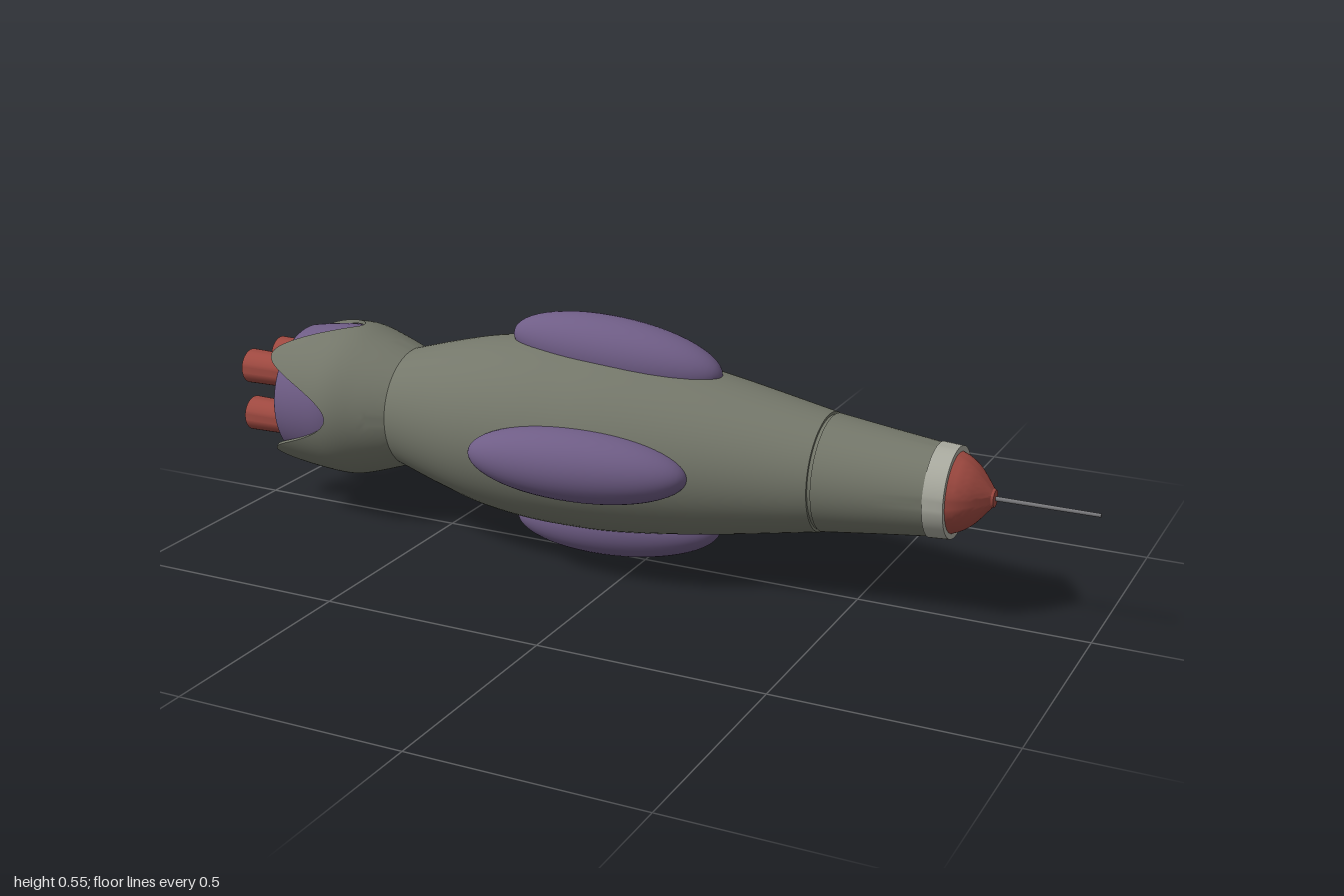
import * as THREE from 'three';
import { toCreasedNormals } from 'three/addons/utils/BufferGeometryUtils.js';

const mat = (name, color) => {
  const m = new THREE.MeshStandardMaterial({ color });
  m.name = name;
  return m;
};

// Smooth interpolation through [x, r] points, returning lathe points
function smoothProfile(pts, n) {
  return new THREE.SplineCurve(pts.map(([x, r]) => new THREE.Vector2(r, x))).getPoints(n);
}

export function createModel() {
  const green = mat('hull green', 0x74776a);
  const purple = mat('pod purple', 0x6f5d86);
  const red = mat('engine red', 0xa04a41);
  const pale = mat('collar grey', 0xa9aa9f);
  const steel = mat('needle steel', 0x77777a);

  const model = new THREE.Group();
  model.name = 'rocket';

  // Everything is turned about local y, then laid along x
  const ship = new THREE.Group();
  ship.name = 'ship';
  ship.rotation.z = -Math.PI / 2;
  ship.position.y = 0.276;
  model.add(ship);

  const add = (name, geo, material, parent = ship) => {
    const mesh = new THREE.Mesh(geo, material);
    mesh.name = name;
    parent.add(mesh);
    return mesh;
  };
  const turned = (points, seg = 64) =>
    toCreasedNormals(new THREE.LatheGeometry(
      points.map((p) => (p.isVector2 ? p : new THREE.Vector2(p[1], p[0]))), seg), 0.45);

  // Main hull, closed at the rear, with a seam groove at the front
  add('hull', turned([
    [-0.585, 0],
    ...smoothProfile([[-0.585, 0.137], [-0.48, 0.167], [-0.37, 0.193], [-0.26, 0.206],
      [-0.16, 0.208], [-0.03, 0.202], [0.17, 0.175], [0.425, 0.128]], 28),
    [0.425, 0.122],
  ]), green);
  add('seamGroove', turned([[0.42, 0.122], [0.44, 0.12]]), green);
  add('noseSection', turned([[0.433, 0.12], [0.433, 0.126], [0.55, 0.111], [0.665, 0.097]]), green);

  // Pale collar, nose cone and probe needle
  add('collar', turned([[0.662, 0.09], [0.662, 0.1], [0.705, 0.097], [0.705, 0.084]]), pale);
  add('noseCone', turned([
    ...smoothProfile([[0.7, 0.087], [0.725, 0.076], [0.75, 0.056], [0.78, 0.02]], 12),
    [0.785, 0.018], [0.786, 0],
  ]), red);
  const needle = add('needle', new THREE.CylinderGeometry(0.004, 0.005, 0.22, 12), steel);
  needle.position.y = 0.89;

  // Four tilted side pods
  for (let i = 0; i < 4; i++) {
    const arm = new THREE.Group();
    arm.name = 'podMount';
    arm.rotation.y = i * Math.PI / 2;
    ship.add(arm);
    const pod = add('pod', new THREE.SphereGeometry(1, 40, 28), purple, arm);
    pod.scale.set(0.079, 0.25, 0.079);
    pod.position.set(0.194, -0.07, 0);
    pod.rotation.z = 0.08;
  }

  // Tail skirt with four scalloped notches, walls inside and out
  const skirtCurve = new THREE.SplineCurve([[-0.92, 0.162], [-0.86, 0.169], [-0.79, 0.176],
    [-0.72, 0.177], [-0.65, 0.158], [-0.585, 0.135]].map((p) => new THREE.Vector2(...p)));
  const samples = skirtCurve.getPoints(60);
  const radiusAt = (x) => {
    const k = Math.max(1, samples.findIndex((p) => p.x >= x - 1e-6));
    const a = samples[k - 1], b = samples[k];
    return a.y + (b.y - a.y) * (x - a.x) / (b.x - a.x);
  };
  const rows = 14, seg = 96, n = rows * 2;
  const skirt = new THREE.LatheGeometry(
    Array.from({ length: n }, (_, j) => new THREE.Vector2(1, j)), seg);
  const pos = skirt.attributes.position;
  for (let k = 0; k < pos.count; k++) {
    const phi = (Math.floor(k / n) % seg) / seg * Math.PI * 2;
    const j = k % n;
    const inner = j < rows;
    const t = inner ? 1 - j / (rows - 1) : (j - rows) / (rows - 1);
    const edge = -0.72 - 0.178 * Math.sin(2 * phi) ** 2;
    const x = edge + (-0.585 - edge) * t;
    const r = radiusAt(x) - (inner ? 0.008 : 0);
    pos.setXYZ(k, r * Math.sin(phi), x, r * Math.cos(phi));
  }
  add('tailSkirt', toCreasedNormals(skirt, 0.6), green);

  // Engine core behind the notches
  add('engineCore', turned([
    [-0.872, 0], [-0.872, 0.154],
    ...smoothProfile([[-0.871, 0.155], [-0.8, 0.166], [-0.73, 0.166], [-0.66, 0.135]], 12),
  ]), purple);

  // Four hollow exhaust tubes
  for (const sx of [-1, 1]) for (const sz of [-1, 1]) {
    const tube = add('exhaust', turned([
      [-0.88, 0], [-0.88, 0.03], [-1, 0.033], [-1, 0.04], [-0.94, 0.039], [-0.86, 0.037],
    ], 32), red);
    tube.position.set(sx * 0.058, 0, sz * 0.058);
  }
  return model;
}
